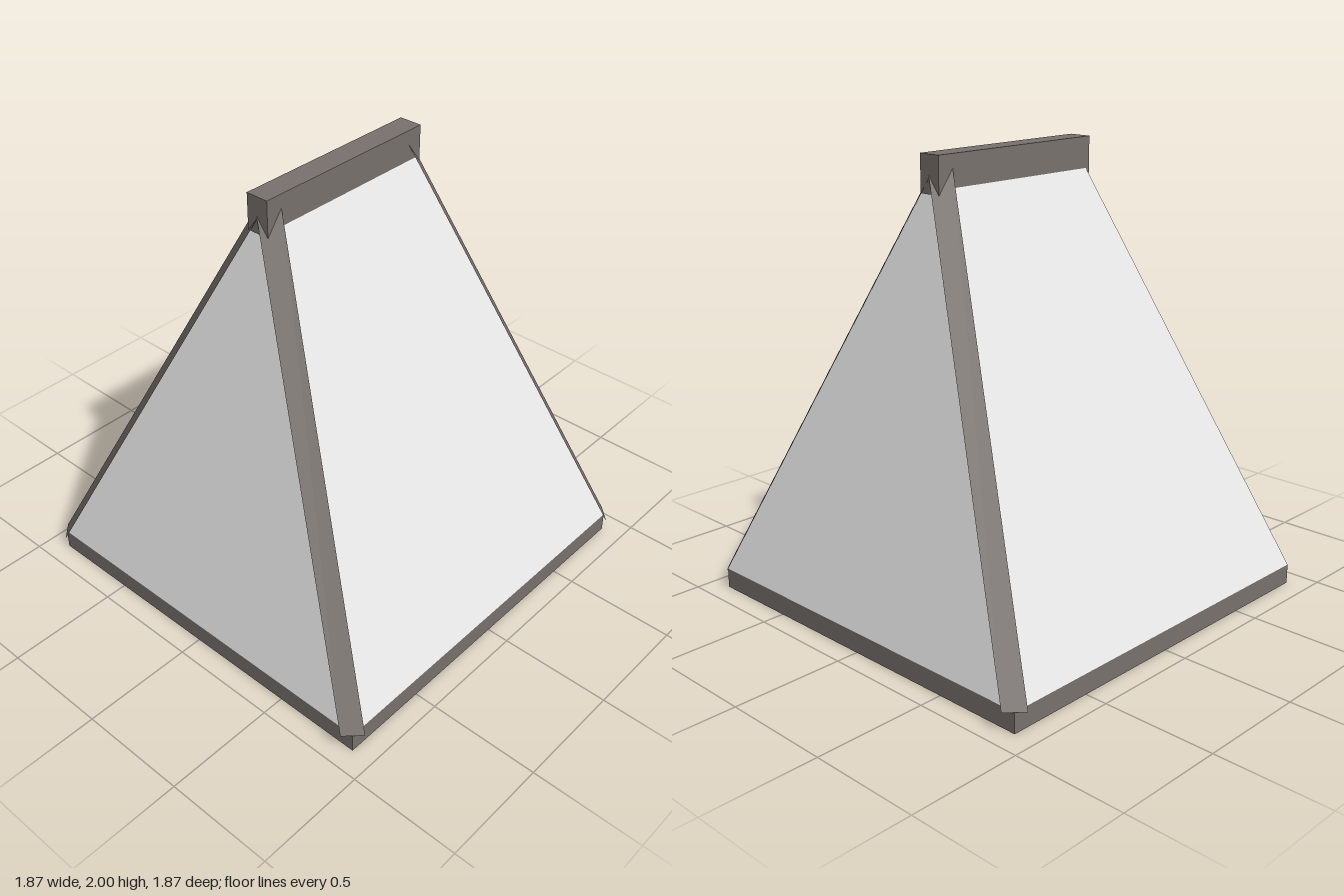
import * as THREE from 'three';

export function createModel() {
  const group = new THREE.Group();
  const frame = new THREE.MeshStandardMaterial({ color: 0x78716d });
  frame.name = 'brown frame';
  const cloth = new THREE.MeshStandardMaterial({ color: 0xeeeeee });
  cloth.name = 'pale panel';

  const add = (name, geometry, material) => {
    const mesh = new THREE.Mesh(geometry, material);
    mesh.name = name;
    group.add(mesh);
    return mesh;
  };

  // Flat face from corners listed counter-clockwise as seen from outside
  const face = (...corners) => {
    const points = [];
    for (let i = 1; i < corners.length - 1; i++) points.push(...corners[0], ...corners[i], ...corners[i + 1]);
    const g = new THREE.BufferGeometry();
    g.setAttribute('position', new THREE.Float32BufferAttribute(points, 3));
    g.computeVertexNormals();
    return g;
  };

  // Base slab and ridge beam
  add('base', new THREE.BoxGeometry(1.8, 0.09, 1.8), frame).position.y = 0.045;
  add('ridgeBeam', new THREE.BoxGeometry(0.9, 0.16, 0.106), frame).position.y = 1.92;

  const foot = 0.9, low = 0.09, ridge = 0.4, high = 1.973;

  // Sloping panels: two trapezoids and two triangles
  for (const s of [1, -1]) {
    add(s > 0 ? 'frontPanel' : 'backPanel', face(
      [-s * foot, low, s * foot], [s * foot, low, s * foot],
      [s * ridge, high, 0], [-s * ridge, high, 0]), cloth);
    add(s > 0 ? 'leftPanel' : 'rightPanel', face(
      [s * foot, low, s * foot], [s * foot, low, -s * foot], [s * ridge, high, 0]), cloth);
  }

  // Flat strips covering the four sloping corners
  const half = 0.035, topX = 0.405, topY = 1.95, topZ = 0.013, lift = 0.001;
  for (const sx of [1, -1]) {
    for (const sz of [1, -1]) {
      const point = (x, y, z, side) =>
        [sx * (x + lift + side * half), y, sz * (z + lift - side * half)];
      const corners = [
        point(foot, low, foot, -1), point(foot, low, foot, 1),
        point(topX, topY, topZ, 1), point(topX, topY, topZ, -1)];
      if (sx * sz < 0) corners.reverse();
      add(`${sz > 0 ? 'front' : 'back'}${sx > 0 ? 'Left' : 'Right'}CornerStrip`, face(...corners), frame);
    }
  }
  return group;
}
